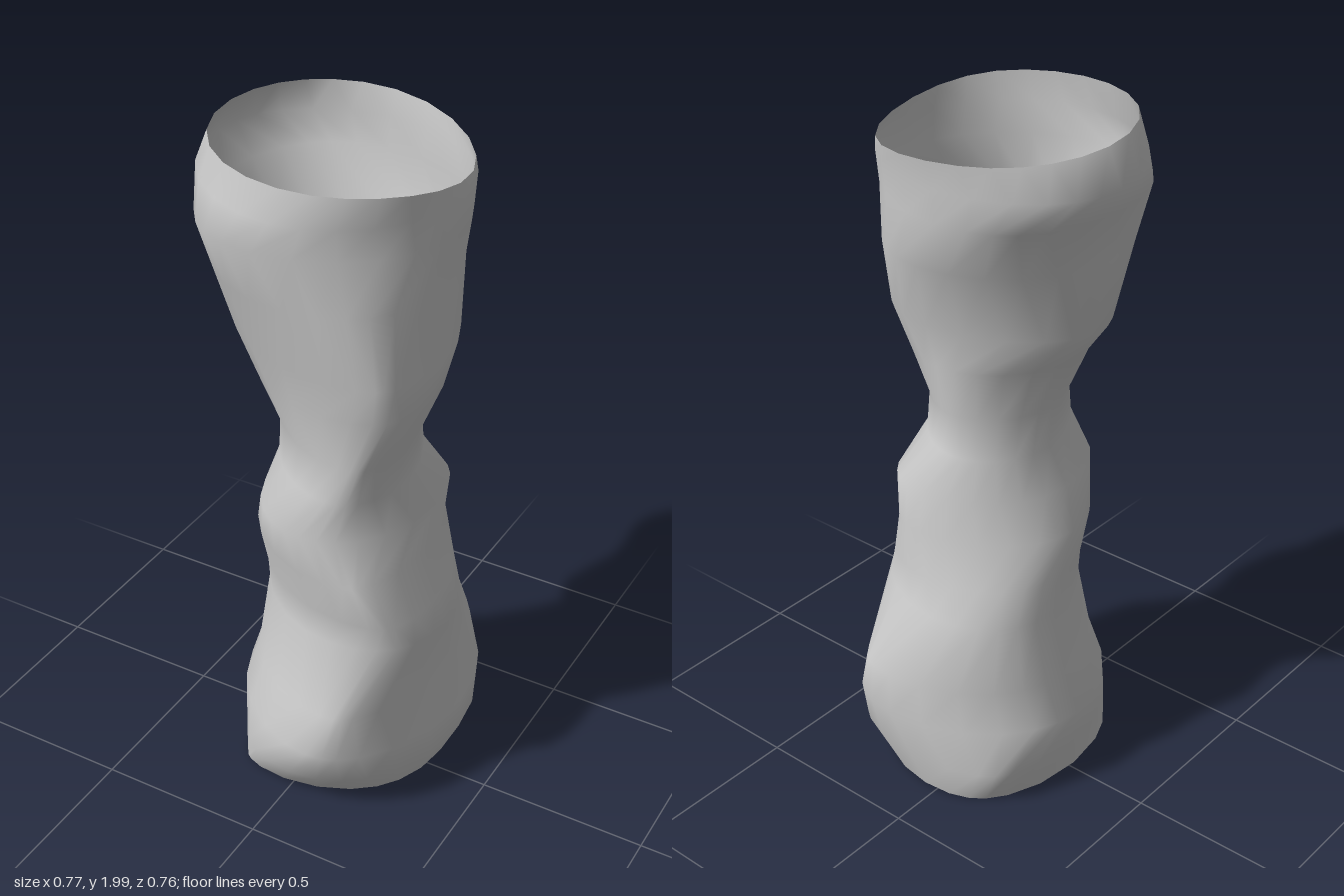
import * as THREE from 'three';

// Each ring: height, then its reach from the axis in eight directions,
// every 45 degrees from +x through +z.
const RINGS = [
  [0.018, 0.32, 0.31, 0.28, 0.305, 0.23, 0.30, 0.33, 0.37],
  [0.12, 0.36, 0.365, 0.335, 0.31, 0.25, 0.34, 0.355, 0.435],
  [0.25, 0.385, 0.40, 0.38, 0.29, 0.28, 0.305, 0.38, 0.44],
  [0.38, 0.34, 0.38, 0.34, 0.25, 0.24, 0.29, 0.37, 0.425],
  [0.60, 0.375, 0.37, 0.28, 0.205, 0.225, 0.285, 0.31, 0.34],
  [0.70, 0.35, 0.405, 0.29, 0.215, 0.21, 0.25, 0.28, 0.33],
  [0.83, 0.30, 0.37, 0.315, 0.24, 0.22, 0.22, 0.265, 0.315],
  [0.95, 0.30, 0.32, 0.31, 0.245, 0.18, 0.195, 0.25, 0.315],
  [1.08, 0.27, 0.33, 0.295, 0.185, 0.15, 0.175, 0.215, 0.225],
  [1.20, 0.28, 0.355, 0.295, 0.175, 0.15, 0.16, 0.205, 0.215],
  [1.35, 0.335, 0.38, 0.305, 0.235, 0.20, 0.195, 0.235, 0.27],
  [1.46, 0.345, 0.405, 0.315, 0.28, 0.28, 0.235, 0.23, 0.315],
  [1.66, 0.335, 0.38, 0.355, 0.34, 0.30, 0.28, 0.295, 0.335],
  [1.81, 0.36, 0.37, 0.375, 0.385, 0.335, 0.35, 0.325, 0.335],
  [1.90, 0.365, 0.375, 0.375, 0.36, 0.385, 0.375, 0.33, 0.34],
  [1.985, 0.36, 0.38, 0.36, 0.335, 0.335, 0.355, 0.34, 0.34],
];
const SIDES = 24;

// Point on the smooth oval that touches the eight reaches at angle a
function ovalPoint(reach, a) {
  let h = 0, slope = 0;
  [1, 2, 2, 2, 0.5].forEach((weight, n) => {
    reach.forEach((r, k) => {
      const d = n * (a - k * Math.PI / 4);
      h += weight * r * Math.cos(d) / 8;
      slope -= weight * n * r * Math.sin(d) / 8;
    });
  });
  return [h * Math.cos(a) - slope * Math.sin(a), h * Math.sin(a) + slope * Math.cos(a)];
}

export function createModel() {
  const positions = [], indices = [];
  const last = RINGS.length - 1;
  RINGS.forEach(([height, ...reach], j) => {
    for (let i = 0; i < SIDES; i++) {
      const angle = i * 2 * Math.PI / SIDES;
      const [x, z] = ovalPoint(reach, angle);
      let y = height;
      // Tilted bottom rim; top rim tilted, with a dip on its left
      if (j === 0) y += 0.04 * x + 0.02 * z;
      if (j === last) {
        y += 0.02 * z - 0.035 * x - 0.035 * Math.max(0, Math.cos(angle + 0.45)) ** 3;
      }
      positions.push(x, y, z);
      if (j < last) {
        const a = j * SIDES + i, b = j * SIDES + (i + 1) % SIDES;
        indices.push(a, a + SIDES, b, b, a + SIDES, b + SIDES);
      }
    }
  });

  // Open, wavy tube wall
  const geometry = new THREE.BufferGeometry();
  geometry.setAttribute('position', new THREE.Float32BufferAttribute(positions, 3));
  geometry.setIndex(indices);
  geometry.computeVertexNormals();
  const wall = new THREE.Mesh(
    geometry,
    new THREE.MeshStandardMaterial({ color: 0xcccccc, side: THREE.DoubleSide }),
  );
  wall.name = 'tubeWall';

  const group = new THREE.Group();
  group.name = 'wavyTube';
  group.add(wall);
  return group;
}
